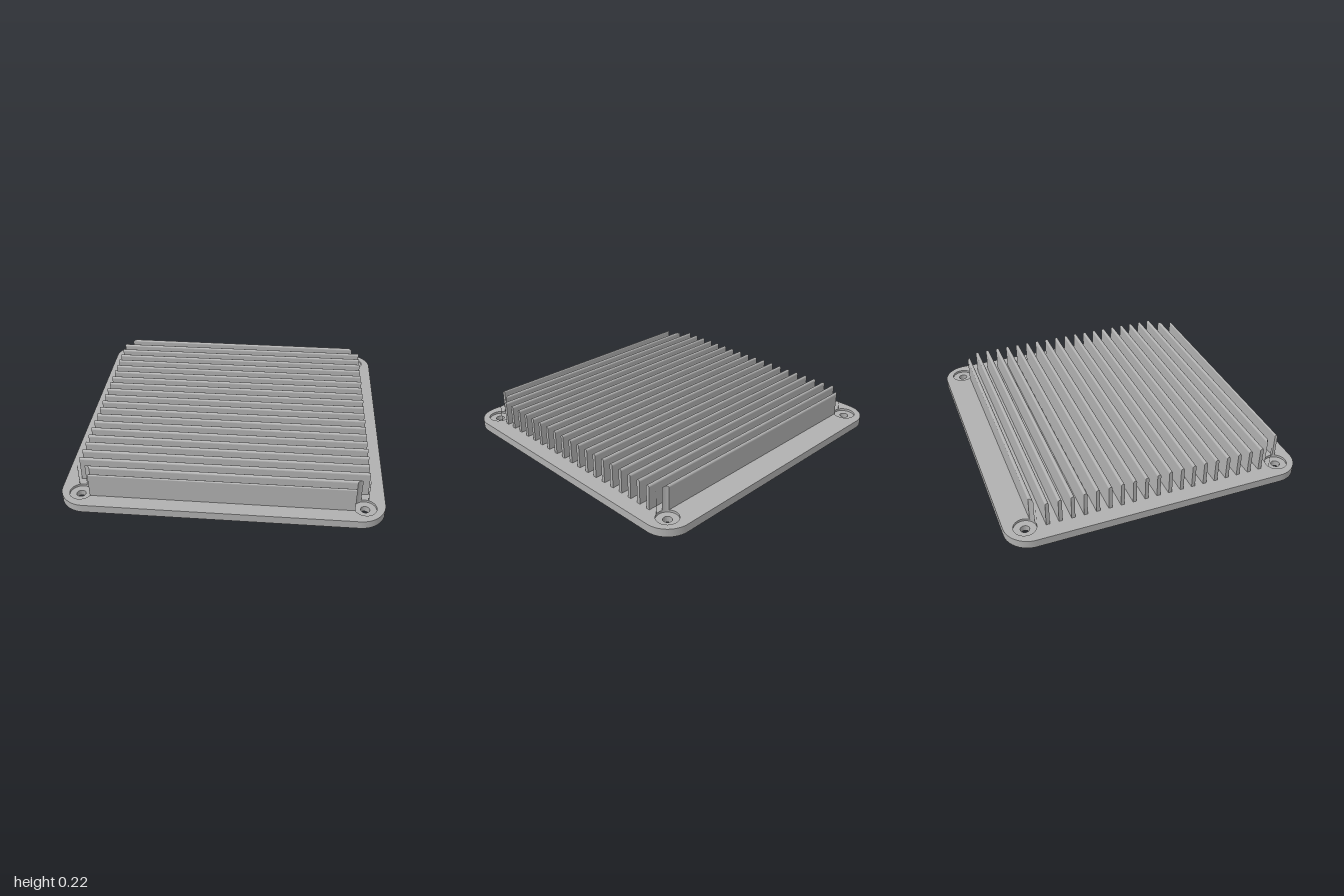
import * as THREE from 'three';
import { toCreasedNormals } from 'three/addons/utils/BufferGeometryUtils.js';

const HALF_X = 1, HALF_Z = 0.965, CORNER = 0.16;
const PLATE_TOP = 0.053, BORE_FLOOR = 0.038;
const HOLE_X = 0.875, HOLE_Z = 0.84, HOLE_R = 0.028, BORE_R = 0.07;
const FIN_END = 0.9, FIN_TOP = 0.215, PITCH = 0.0785;

// Rounded slab with four round corner holes, lying between two heights
function slab(y0, y1, holeRadius) {
  const s = new THREE.Shape();
  const x = HALF_X, z = HALF_Z, r = CORNER;
  s.moveTo(-x + r, -z);
  s.lineTo(x - r, -z);
  s.absarc(x - r, -z + r, r, -Math.PI / 2, 0, false);
  s.lineTo(x, z - r);
  s.absarc(x - r, z - r, r, 0, Math.PI / 2, false);
  s.lineTo(-x + r, z);
  s.absarc(-x + r, z - r, r, Math.PI / 2, Math.PI, false);
  s.lineTo(-x, -z + r);
  s.absarc(-x + r, -z + r, r, Math.PI, Math.PI * 1.5, false);
  for (const sx of [-1, 1]) for (const sz of [-1, 1]) {
    const hole = new THREE.Path();
    hole.absarc(sx * HOLE_X, sz * HOLE_Z, holeRadius, 0, Math.PI * 2, true);
    s.holes.push(hole);
  }
  const g = new THREE.ExtrudeGeometry(s, { depth: y1 - y0, bevelEnabled: false, curveSegments: 20 });
  g.rotateX(-Math.PI / 2);
  g.translate(0, y0, 0);
  return toCreasedNormals(g, 0.6);
}

// Half width of the screw clearance at depth z (0 when clear of it)
function clearance(z) {
  const d = Math.abs(z) - HOLE_Z;
  return Math.sqrt(Math.max(0, BORE_R * BORE_R - d * d));
}

// Round-topped fin piece from z0 to z1, with ends that follow two curves
function finPiece(centre, radius, z0, z1, xMin, xMax) {
  const g = new THREE.BoxGeometry(1, 1, 1, 1, 1, 10);
  const p = g.attributes.position;
  for (let i = 0; i < p.count; i++) {
    const t = Math.sin(p.getZ(i) * Math.PI) / 2 + 0.5;
    const z = z0 + (z1 - z0) * t;
    const d = z - centre;
    const top = FIN_TOP - radius + Math.sqrt(Math.max(0, radius * radius - d * d));
    p.setXYZ(i, p.getX(i) < 0 ? xMin(z) : xMax(z), p.getY(i) < 0 ? PLATE_TOP : top, z);
  }
  g.computeVertexNormals();
  return g;
}

export function createModel() {
  const model = new THREE.Group();
  model.name = 'heatSink';
  const metal = new THREE.MeshStandardMaterial({ color: 0xb0b0b0 });
  metal.name = 'grey metal';
  const add = (name, geometry, parent = model) => {
    const m = new THREE.Mesh(geometry, metal);
    m.name = name;
    parent.add(m);
  };

  // Base plate: narrow screw holes below, wide counterbores above
  add('basePlate', slab(0, BORE_FLOOR, HOLE_R));
  add('counterboredTop', slab(BORE_FLOOR, PLATE_TOP, BORE_R));

  // Cooling fins, the outer ones notched around the screws
  const fins = new THREE.Group();
  fins.name = 'coolingFins';
  model.add(fins);
  for (let i = -10; i <= 11; i++) {
    const z = i * PITCH;
    const r = i === 11 ? 0.0075 : 0.0115;
    const notched = Math.abs(i) >= 10;
    const end = notched ? (zz) => HOLE_X - clearance(zz) : () => FIN_END;
    add('fin', finPiece(z, r, z - r, z + r, (zz) => -end(zz), end), fins);

    // Thin slivers left standing outside the screw clearance
    if (Math.abs(i) === 10) {
      const s = Math.sign(i);
      const inner = s * (Math.abs(z) - r);
      const limit = s * (HOLE_Z - Math.sqrt(BORE_R ** 2 - (FIN_END - HOLE_X) ** 2));
      const z0 = Math.min(inner, limit), z1 = Math.max(inner, limit);
      const near = (zz) => Math.min(FIN_END, HOLE_X + clearance(zz));
      add('finSliverLeft', finPiece(z, r, z0, z1, near, () => FIN_END), fins);
      add('finSliverRight', finPiece(z, r, z0, z1, () => -FIN_END, (zz) => -near(zz)), fins);
    }
  }
  return model;
}
